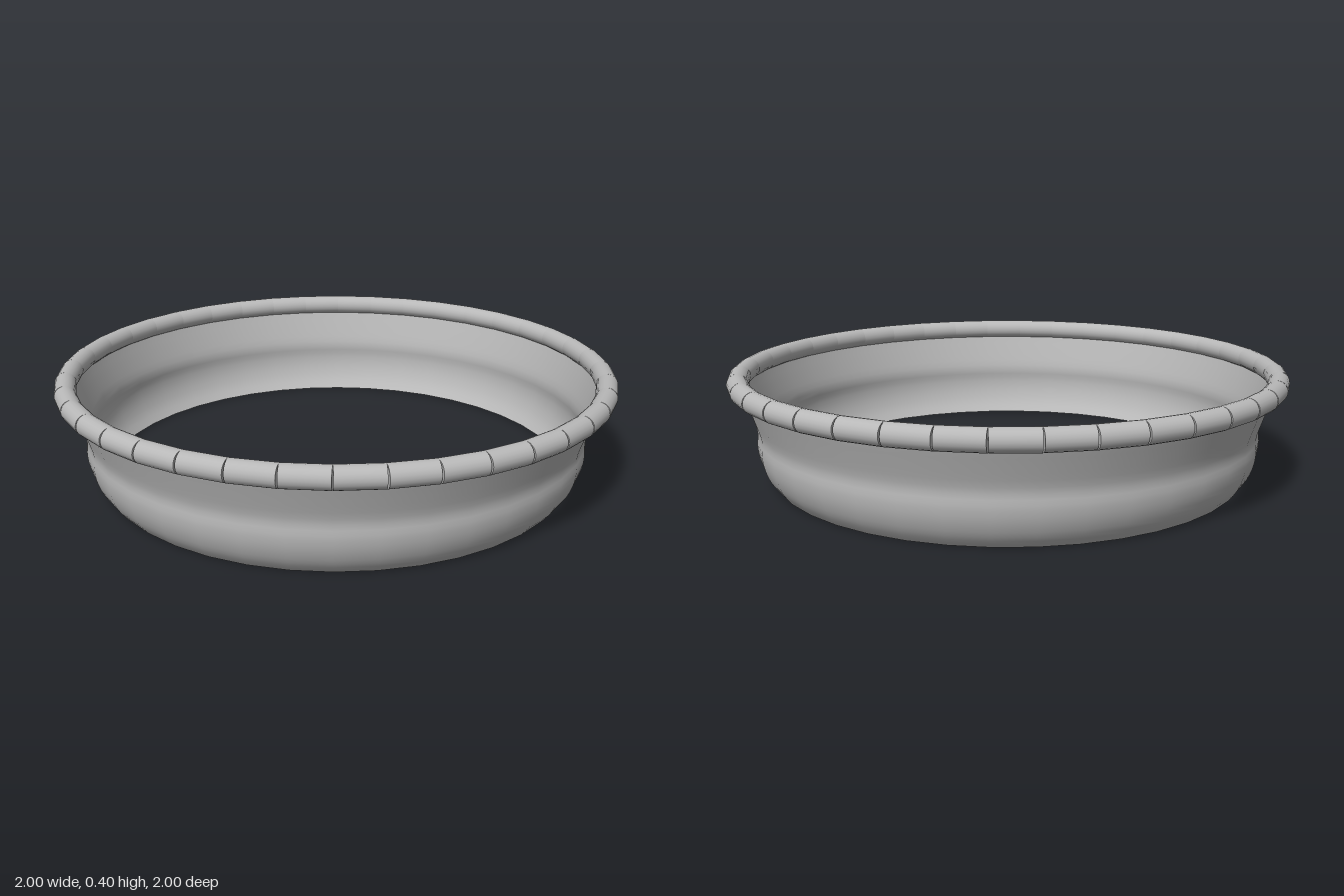
import * as THREE from 'three';

const SEGMENTS = 40;

export function createModel() {
  const group = new THREE.Group();
  group.name = 'ringPan';
  const metal = new THREE.MeshStandardMaterial({ color: 0xb8b8b8, side: THREE.DoubleSide });
  metal.name = 'grey metal';

  // Open wall: tucked-in foot, soft bulge, then a flare up into the rim
  const profile = new THREE.SplineCurve([
    [0.85, 0], [0.88, 0.04], [0.9, 0.09], [0.907, 0.14],
    [0.904, 0.19], [0.923, 0.255], [0.945, 0.32], [0.954, 0.35],
  ].map(([r, y]) => new THREE.Vector2(r, y)));
  const wall = new THREE.Mesh(new THREE.LatheGeometry(profile.getPoints(20), SEGMENTS), metal);
  wall.name = 'wall';
  group.add(wall);

  // Rolled rim: straight rods meeting end to end, leaving small outer notches
  const rim = new THREE.Group();
  rim.name = 'rim';
  const radius = 0.0375, jointRadius = 0.9626, half = Math.PI / SEGMENTS;
  const rod = new THREE.CylinderGeometry(radius, radius, 2 * jointRadius * Math.sin(half), 20);
  rod.rotateZ(Math.PI / 2);
  rod.translate(0, 0.36, jointRadius * Math.cos(half));
  for (let i = 0; i < SEGMENTS; i++) {
    const piece = new THREE.Mesh(rod, metal);
    piece.name = 'rimSegment';
    piece.rotation.y = (2 * i + 1) * half;
    rim.add(piece);
  }
  group.add(rim);
  return group;
}
